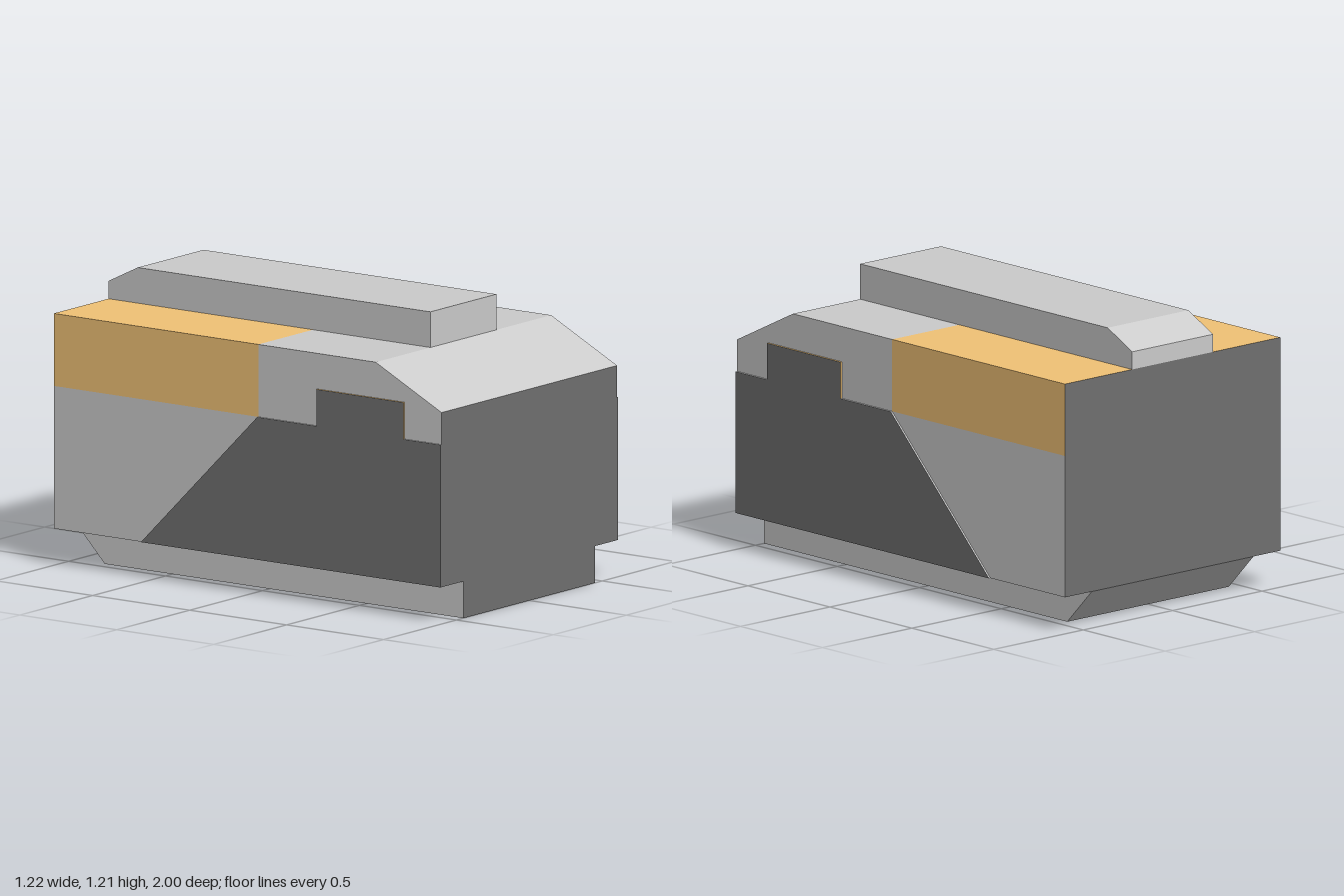
import * as THREE from 'three';

const paint = (color) => new THREE.MeshStandardMaterial({ color, flatShading: true });
const GREY = 0, DARK = 1, TAN = 2;

// Prism running along x. The [z, y] outline goes up the back, forward over the
// top and down the front; edges[i] paints the strip from point i to point i + 1.
function prism(name, materials, outline, x0, x1, capPaint, edges) {
  const positions = [];
  const geometry = new THREE.BufferGeometry();
  const add = (paintIndex, corners) => {
    geometry.addGroup(positions.length / 3, corners.length, paintIndex);
    for (const [x, [z, y]] of corners) positions.push(x, y, z);
  };
  outline.forEach((a, i) => {
    const b = outline[(i + 1) % outline.length];
    add(edges[i], [[x0, a], [x0, b], [x1, b], [x0, a], [x1, b], [x1, a]]);
  });
  const flat = outline.map(([z, y]) => new THREE.Vector2(-z, y));
  for (const [i, j, k] of THREE.ShapeUtils.triangulateShape(flat, [])) {
    add(capPaint, [i, j, k].map((n) => [x1, outline[n]]));
    add(capPaint, [k, j, i].map((n) => [x0, outline[n]]));
  }
  geometry.setAttribute('position', new THREE.Float32BufferAttribute(positions, 3));
  geometry.computeVertexNormals();
  const mesh = new THREE.Mesh(geometry, materials);
  mesh.name = name;
  return mesh;
}

export function createModel() {
  const model = new THREE.Group();
  model.name = 'block';
  const materials = [paint(0xcccccc), paint(0x707070), paint(0xf1c276)];
  const part = (name, ...rest) => model.add(prism(name, materials, ...rest));

  // Main body with sloping front top; front and back ends are dark
  part('body',
    [[-1, 0.155], [-1, 0.755], [0.055, 0.755], [0.055, 1.06], [0.66, 1.06], [1, 0.89], [1, 0.155]],
    -0.602, 0.602, GREY, [DARK, GREY, GREY, GREY, GREY, DARK, GREY]);

  // Tan upper rear block
  part('rearTop',
    [[-1, 0.755], [-1, 1.06], [0.055, 1.06], [0.055, 0.755]],
    -0.602, 0.602, TAN, [DARK, TAN, TAN, TAN]);

  // Raised rail along the top, chamfered at the back
  part('topRail',
    [[-1, 1.06], [-1, 1.135], [-0.85, 1.21], [0.66, 1.21], [0.66, 1.06]],
    -0.226, 0.226, GREY, [GREY, GREY, GREY, GREY, GREY]);

  // Narrow base, cut away at the back
  part('base',
    [[-0.85, 0], [-1, 0.155], [1, 0.155], [1, 0]],
    -0.452, 0.452, GREY, [GREY, GREY, DARK, GREY]);

  // Thin dark side plates, each with a tan-edged tab on top
  for (const [side, x0, x1] of [['left', 0.602, 0.61], ['right', -0.61, -0.602]]) {
    part(side + 'Plate',
      [[-0.545, 0.155], [0.055, 0.755], [1, 0.755], [1, 0.155]],
      x0, x1, DARK, [GREY, GREY, DARK, GREY]);
    part(side + 'Tab',
      [[0.36, 0.755], [0.36, 0.91], [0.81, 0.91], [0.81, 0.755]],
      x0, x1, DARK, [TAN, TAN, TAN, DARK]);
  }
  return model;
}
